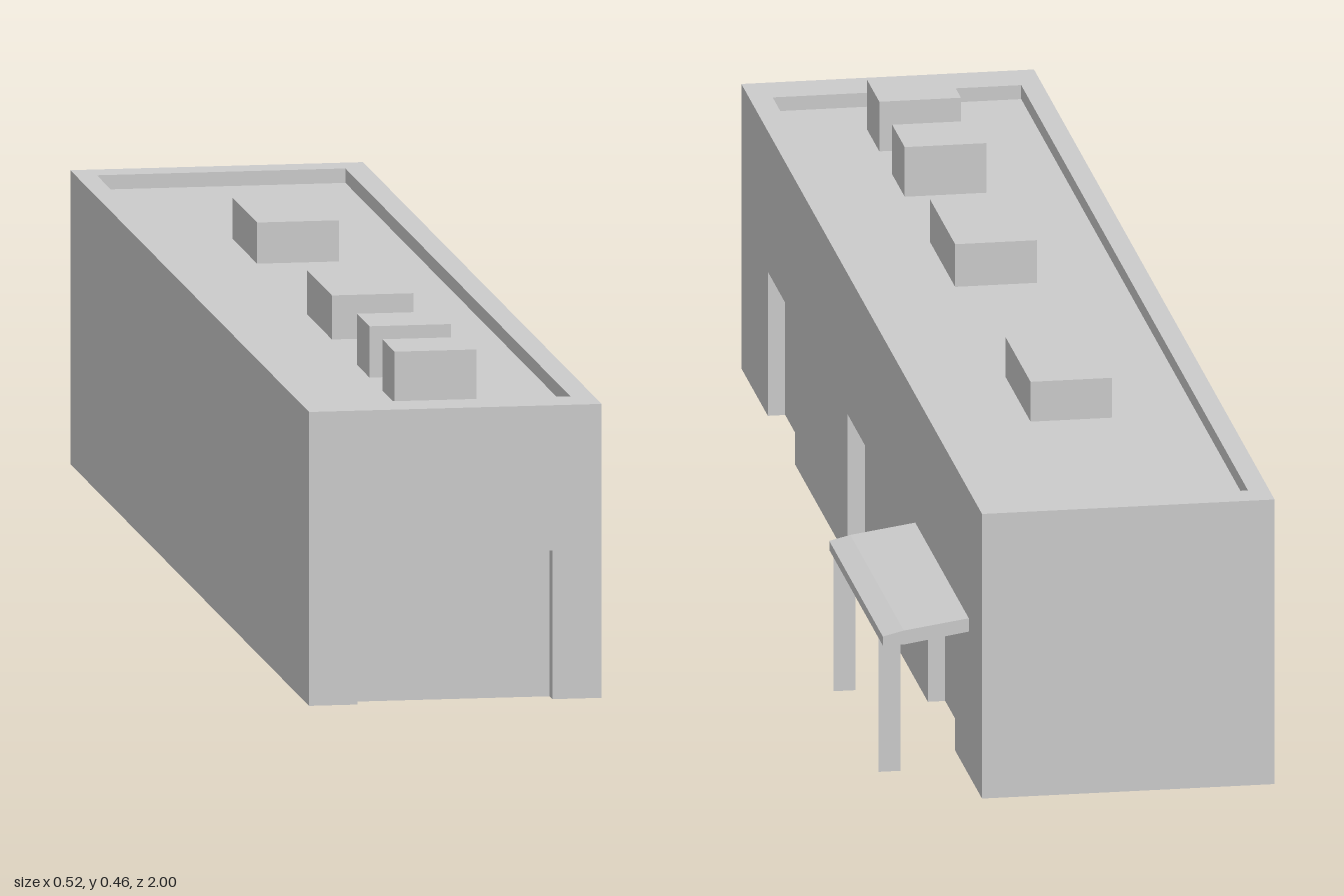
import * as THREE from 'three';

const material = new THREE.MeshStandardMaterial({ color: 0xcccccc, side: THREE.DoubleSide, flatShading: true });

// Main building limits
const X0 = -0.262, X1 = 0.143, H = 0.407, DEPTH = 0.024;
const DOOR_H = 0.206, ROOF_Y = 0.387;
const FRONT_DOOR = [-0.195, 0.075];
const SIDE_DOORS = [[-0.78, -0.556], [-0.117, 0.111], [0.55, 0.775]]; // as -z ranges

function add(parent, name, geometry, x = 0, y = 0, z = 0) {
  const mesh = new THREE.Mesh(geometry, material);
  mesh.name = name;
  mesh.position.set(x, y, z);
  parent.add(mesh);
  return mesh;
}

// Rectangular wall whose bottom edge is notched by door openings
function wallShape(a, b, doors) {
  const s = new THREE.Shape();
  s.moveTo(a, 0);
  for (const [l, r] of doors) {
    s.lineTo(l, 0).lineTo(l, DOOR_H).lineTo(r, DOOR_H).lineTo(r, 0);
  }
  s.lineTo(b, 0).lineTo(b, H).lineTo(a, H).closePath();
  return new THREE.ShapeGeometry(s);
}

// Inside of a box that is open towards +z, and optionally at the bottom
function niche(w, h, d, openBottom) {
  const g = new THREE.BoxGeometry(w, h, d).translate(0, 0, -d / 2);
  const all = Array.from(g.index.array);
  const keep = [];
  for (let face = 0; face < 6; face++) {
    if (face === 4 || (openBottom && face === 3)) continue;
    const f = all.slice(face * 6, face * 6 + 6);
    keep.push(f[0], f[2], f[1], f[3], f[5], f[4]);
  }
  g.setIndex(keep);
  const n = g.attributes.normal;
  for (let i = 0; i < n.count; i++) n.setXYZ(i, -n.getX(i), -n.getY(i), -n.getZ(i));
  return g;
}

function doorRecess([l, r]) {
  return niche(r - l, DOOR_H, DEPTH, true).translate((l + r) / 2, DOOR_H / 2, 0);
}

function createBuilding() {
  const g = new THREE.Group();
  g.name = 'building';
  const cx = (X0 + X1) / 2, w = X1 - X0;

  // Walls
  add(g, 'frontWall', wallShape(X0, X1, [FRONT_DOOR]), 0, 0, 1);
  add(g, 'rightSideWall', wallShape(-1, 1, SIDE_DOORS).rotateY(Math.PI / 2), X1);
  add(g, 'backWall', new THREE.PlaneGeometry(w, H).rotateY(Math.PI), cx, H / 2, -1);
  add(g, 'plainSideWall', new THREE.PlaneGeometry(2, H).rotateY(-Math.PI / 2), X0, H / 2, 0);

  // Recessed doors
  add(g, 'frontDoor', doorRecess(FRONT_DOOR), 0, 0, 1);
  for (const d of SIDE_DOORS) add(g, 'sideDoor', doorRecess(d).rotateY(Math.PI / 2), X1);

  // Underside, stepped in at each door
  const base = new THREE.Shape();
  base.moveTo(X0, -1).lineTo(X1, -1);
  for (const [l, r] of [...SIDE_DOORS].reverse()) {
    base.lineTo(X1, -r).lineTo(X1 - DEPTH, -r).lineTo(X1 - DEPTH, -l).lineTo(X1, -l);
  }
  const [fl, fr] = FRONT_DOOR;
  base.lineTo(X1, 1).lineTo(fr, 1).lineTo(fr, 1 - DEPTH).lineTo(fl, 1 - DEPTH).lineTo(fl, 1);
  base.lineTo(X0, 1).closePath();
  add(g, 'underside', new THREE.ShapeGeometry(base).rotateX(Math.PI / 2));

  // Parapet rim and sunken roof
  const [rx0, rx1, rz0, rz1] = [-0.233, 0.111, -0.953, 0.932];
  const rim = new THREE.Shape();
  rim.moveTo(X0, -1).lineTo(X1, -1).lineTo(X1, 1).lineTo(X0, 1).closePath();
  const hole = new THREE.Path();
  hole.moveTo(rx0, -rz1).lineTo(rx0, -rz0).lineTo(rx1, -rz0).lineTo(rx1, -rz1).closePath();
  rim.holes.push(hole);
  add(g, 'parapetRim', new THREE.ShapeGeometry(rim).rotateX(-Math.PI / 2), 0, H, 0);
  add(g, 'sunkenRoof', niche(rx1 - rx0, rz1 - rz0, H - ROOF_Y, false).rotateX(-Math.PI / 2),
    (rx0 + rx1) / 2, H, (rz0 + rz1) / 2);
  return g;
}

function createRoofUnits() {
  const g = new THREE.Group();
  g.name = 'roofUnits';
  // z start, z end, top
  for (const [a, b, top] of [[0.727, 0.83, 0.458], [0.516, 0.62, 0.458], [0.097, 0.305, 0.448], [-0.53, -0.322, 0.444]]) {
    add(g, 'roofUnit', new THREE.BoxGeometry(0.113, top - ROOF_Y, b - a), -0.059, (top + ROOF_Y) / 2, (a + b) / 2);
  }
  return g;
}

function createCanopy() {
  const g = new THREE.Group();
  g.name = 'canopy';
  // Sloping slab with a bent outer lip
  const s = new THREE.Shape();
  s.moveTo(X1, 0.205).lineTo(0.233, 0.191).lineTo(0.262, 0.191);
  s.lineTo(0.262, 0.204).lineTo(0.233, 0.211).lineTo(X1, 0.224).closePath();
  add(g, 'canopyRoof', new THREE.ExtrudeGeometry(s, { depth: 0.445, bevelEnabled: false }), 0, 0, -0.89);
  // Thin flat posts
  for (const z of [-0.48, -0.855]) {
    add(g, 'canopyPost', new THREE.BoxGeometry(0.03, 0.191, 0.002), 0.247, 0.0955, z);
  }
  return g;
}

export function createModel() {
  const model = new THREE.Group();
  model.name = 'longBuilding';
  model.add(createBuilding(), createRoofUnits(), createCanopy());
  return model;
}
